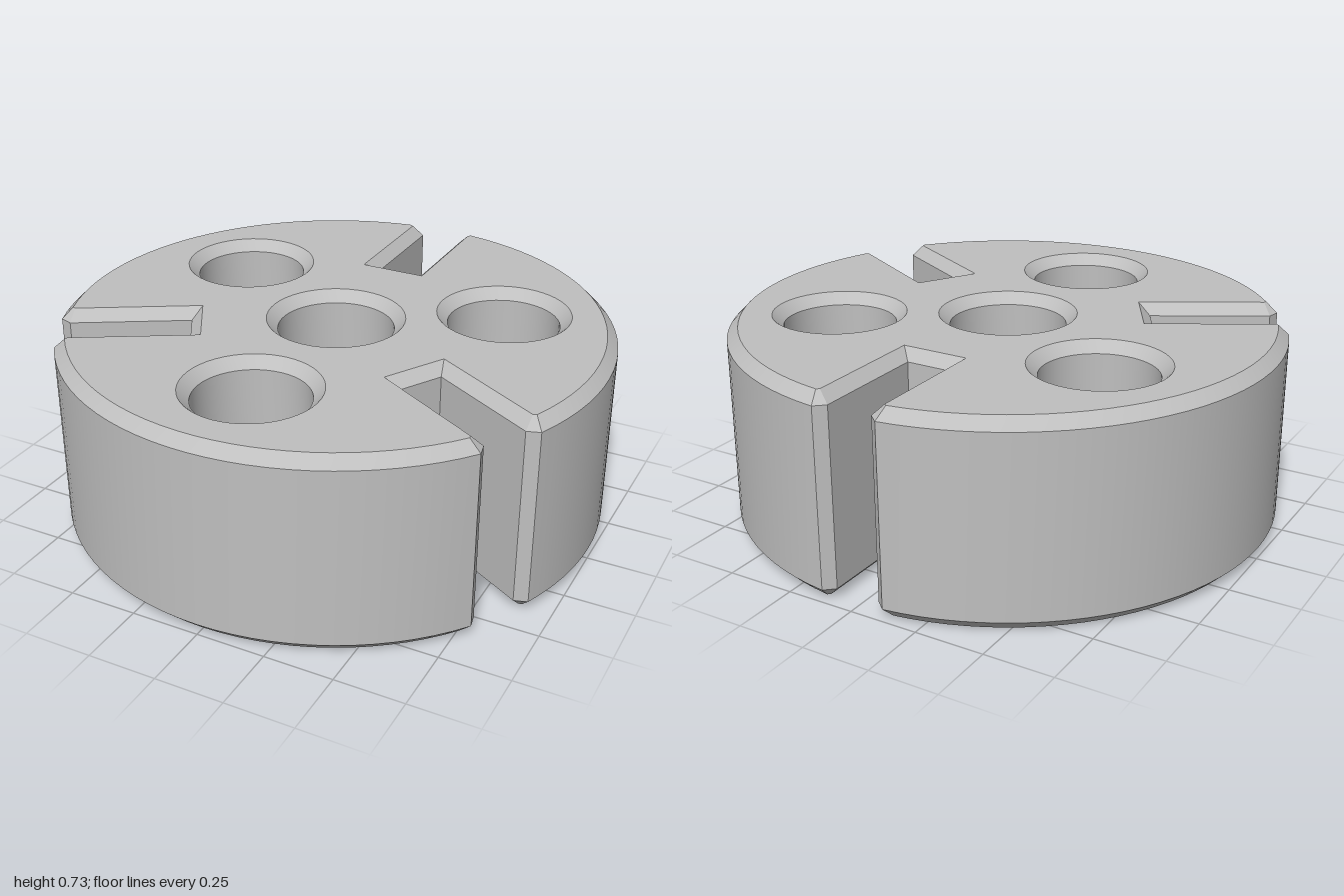
import * as THREE from 'three';
import { toCreasedNormals } from 'three/addons/utils/BufferGeometryUtils.js';

const H = 0.73, BEVEL = 0.04, FLOOR = 0.33, HEX_TOP = 0.12, HEX_R = 0.2;
const SLOT_ANGLES = [90, 210, 330].map(THREE.MathUtils.degToRad);
const BOLT_CENTRES = [30, 150, 270].map(THREE.MathUtils.degToRad)
  .map(a => new THREE.Vector2(0.607 * Math.cos(a), 0.607 * Math.sin(a)));

// Slotted disc outline, counterclockwise in plan (y = -z), shrunk by e
function outline(e) {
  const R = 1 - e, w = 0.083 + e, end = 0.52 - e, c = 0.037 - e * 0.68;
  const side = Math.sqrt(R * R - w * w) - c;
  const arcStart = Math.asin((w + c) / R), steps = 28, pts = [];
  for (const a of SLOT_ANGLES) {
    for (const [x, y] of [[w, side], [w, end], [-w, end], [-w, side]])
      pts.push(new THREE.Vector2(x, y).rotateAround(new THREE.Vector2(), a - Math.PI / 2));
    const span = Math.PI * 2 / 3 - 2 * arcStart;
    for (let i = 0; i <= steps; i++) {
      const t = a + arcStart + span * i / steps;
      pts.push(new THREE.Vector2(R * Math.cos(t), R * Math.sin(t)));
    }
  }
  return pts;
}

// Wall through closed loops [points, height], facing outward if counterclockwise
function wall(levels) {
  const n = levels[0][0].length, pos = [], idx = [];
  for (const [pts, y] of levels) for (const p of pts) pos.push(p.x, y, -p.y);
  for (let l = 0; l < levels.length - 1; l++)
    for (let i = 0; i < n; i++) {
      const a = l * n + i, b = l * n + (i + 1) % n;
      idx.push(a, b, b + n, a, b + n, a + n);
    }
  const g = new THREE.BufferGeometry();
  g.setAttribute('position', new THREE.Float32BufferAttribute(pos, 3));
  g.setIndex(idx);
  return toCreasedNormals(g, 0.45);
}

function circle(c, r, n = 48, phase = 0) {
  return Array.from({ length: n }, (_, i) => {
    const t = phase + i / n * Math.PI * 2;
    return new THREE.Vector2(c.x + r * Math.cos(t), c.y + r * Math.sin(t));
  });
}

// Flat face with holes, facing up or down
function flat(points, holes, y, up) {
  const place = pts => pts.map(p => new THREE.Vector2(p.x, up ? p.y : -p.y));
  const shape = new THREE.Shape(place(points));
  shape.holes = holes.map(h => new THREE.Path(place(h)));
  return new THREE.ShapeGeometry(shape).rotateX(up ? -Math.PI / 2 : Math.PI / 2).translate(0, y, 0);
}

// Inward-facing bore, profile listed from top to bottom
function bore(profile, c) {
  const g = new THREE.LatheGeometry(profile.map(p => new THREE.Vector2(...p)), 48);
  return toCreasedNormals(g, 0.45).translate(c.x, 0, -c.y);
}

export function createModel() {
  const group = new THREE.Group();
  const metal = new THREE.MeshStandardMaterial({ color: 0xbfbfbf });
  metal.name = 'grey metal';
  const add = (name, geometry) => {
    const mesh = new THREE.Mesh(geometry, metal);
    mesh.name = name;
    group.add(mesh);
  };
  const origin = new THREE.Vector2();
  const inner = outline(BEVEL), full = outline(0);
  const hex = circle(origin, HEX_R, 6, Math.PI / 2);

  // Chamfered disc with three radial slots
  add('slottedRim', wall([[inner, 0], [full, BEVEL], [full, H - BEVEL], [inner, H]]));
  add('topFace', flat(inner, [circle(origin, 0.25), ...BOLT_CENTRES.map(c => circle(c, 0.243))], H, true));
  add('bottomFace', flat(inner, [hex, ...BOLT_CENTRES.map(c => circle(c, 0.178))], 0, false));

  // Counterbored bolt holes
  BOLT_CENTRES.forEach((c, i) => add('boltHole' + (i + 1), bore([
    [0.243, H], [0.203, H - BEVEL], [0.203, FLOOR], [0.14, FLOOR],
    [0.12, FLOOR - 0.02], [0.12, 0.05], [0.178, 0]], c)));

  // Centre bore with a hexagonal nut pocket underneath
  add('centreBore', bore([
    [0.25, H], [0.21, H - BEVEL], [0.21, FLOOR], [0.145, FLOOR],
    [0.123, FLOOR - 0.02], [0.123, HEX_TOP + 0.02], [0.145, HEX_TOP]], origin));
  const hexReversed = [...hex].reverse();
  add('nutPocketWall', wall([[hexReversed, 0], [hexReversed, HEX_TOP]]));
  add('nutPocketSeat', flat(hex, [circle(origin, 0.145)], HEX_TOP, false));
  return group;
}
